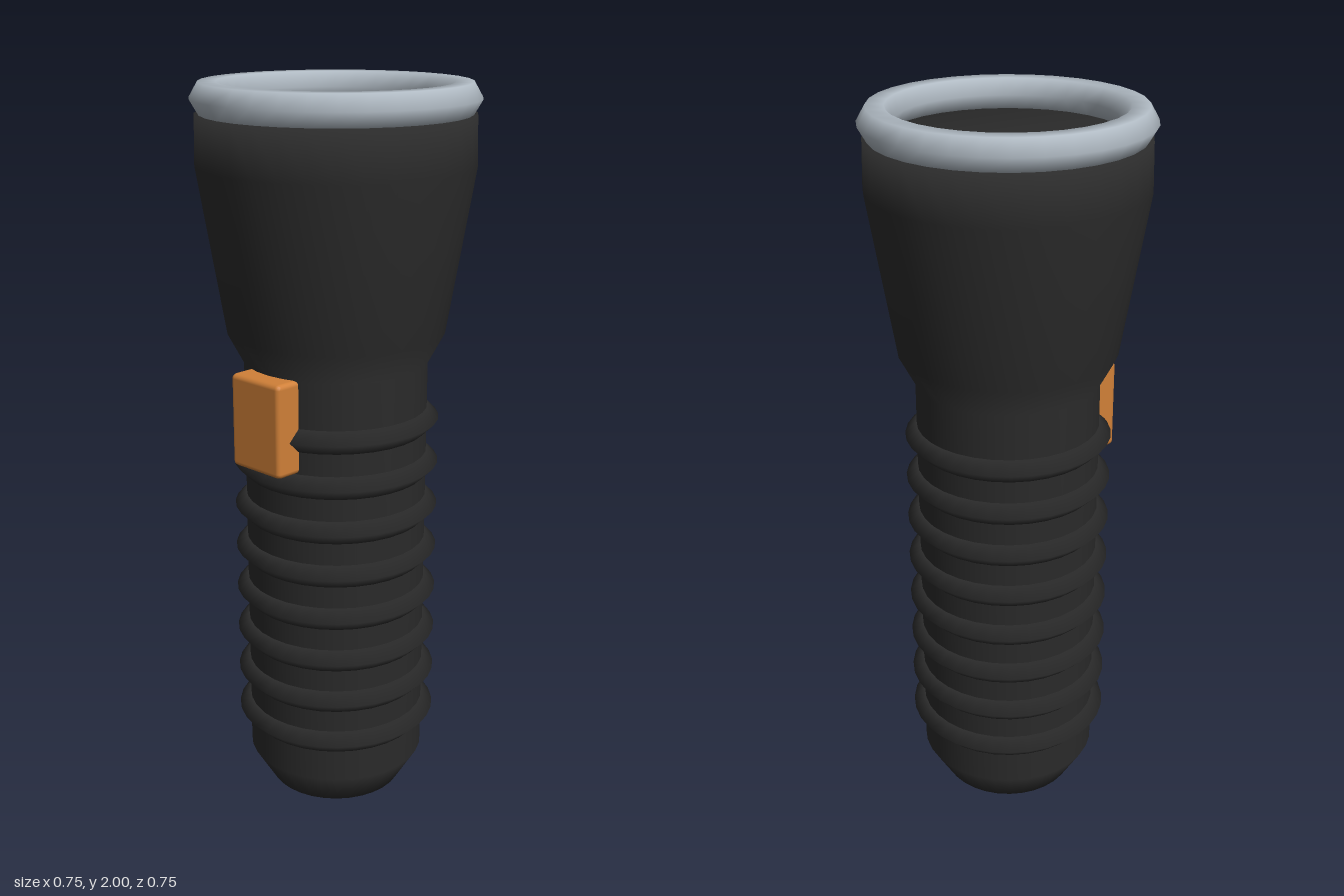
import * as THREE from 'three';
import { RoundedBoxGeometry } from 'three/addons/geometries/RoundedBoxGeometry.js';

const SIDES = 32;

const mat = (name, color) => {
  const m = new THREE.MeshStandardMaterial({ color });
  m.name = name;
  return m;
};

export function createModel() {
  const group = new THREE.Group();
  group.name = 'flashlight';
  const black = mat('black rubber', 0x2b2b2b);
  const silver = mat('silver metal', 0xb0bac3);
  const orange = mat('orange plastic', 0xd08038);

  const add = (name, geometry, material, y, z = 0) => {
    const mesh = new THREE.Mesh(geometry, material);
    mesh.name = name;
    mesh.position.set(0, y, z);
    group.add(mesh);
  };

  // horizontal ring with a coarse tube section
  const ring = (radius, tube, sections) =>
    new THREE.TorusGeometry(radius, tube, sections, SIDES).rotateX(Math.PI / 2);

  // tail, handle and flared head in one turned profile
  const profile = [
    [0, 0], [0.19, 0], [0.25, 0.1], [0.25, 1.265],
    [0.295, 1.35], [0.368, 1.79], [0.365, 1.92], [0, 1.92],
  ].map(([r, y]) => new THREE.Vector2(r, y));
  add('body', new THREE.LatheGeometry(profile, SIDES), black, 0);

  // grip ribs
  for (let i = 0; i < 8; i++) {
    add(`gripRib${i + 1}`, ring(0.25, 0.032, 4), black, 0.224 + i * 0.1263);
  }

  // bezel around the lens
  add('bezel', ring(0.33, 0.047, 6), silver, 1.9593);

  // push button on the front
  add('button', new RoundedBoxGeometry(0.18, 0.255, 0.1, 2, 0.014), orange, 1.1425, 0.255);

  return group;
}
